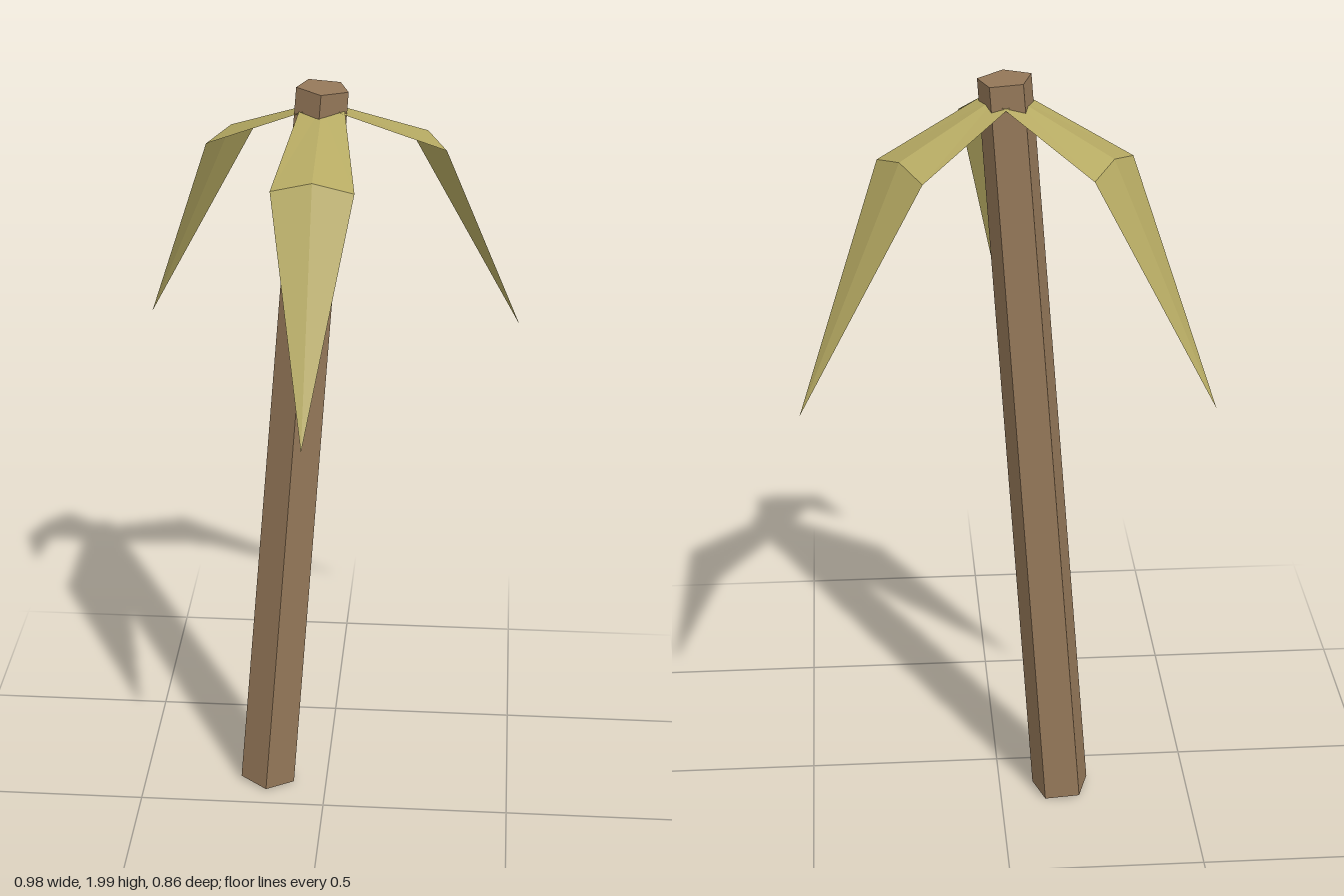
import * as THREE from 'three';

export function createModel() {
  const model = new THREE.Group();
  const bark = new THREE.MeshStandardMaterial({ color: 0x957859, flatShading: true });
  bark.name = 'bark brown';
  const frond = new THREE.MeshStandardMaterial({ color: 0xb5a962, flatShading: true, side: THREE.DoubleSide });
  frond.name = 'dry leaf green';

  // Leaning five-sided trunk, slightly tapered
  const trunk = new THREE.Mesh(new THREE.CylinderGeometry(0.067, 0.077, 1.989, 5), bark);
  trunk.name = 'trunk';
  trunk.position.set(-0.086, 1, -0.135);
  trunk.rotation.z = -0.0767;
  model.add(trunk);

  // Drooping leaf: a ridged strip from the trunk to a bend, then a long point
  const crown = new THREE.Vector3(-0.01, 1.95, -0.13);
  const up = new THREE.Vector3(0, 1, 0);
  function addLeaf(name, bend, tip) {
    const out = bend.clone().sub(crown).setY(0).normalize();
    const across = up.clone().cross(out);
    const base = crown.clone().addScaledVector(out, 0.02);
    const edge = (p, halfWidth, drop) => p.clone().addScaledVector(across, halfWidth).addScaledVector(up, -drop);
    const baseL = edge(base, 0.055, 0.01), baseR = edge(base, -0.055, 0.01);
    const bendL = edge(bend, 0.1, 0.023), bendR = edge(bend, -0.1, 0.023);
    const geometry = new THREE.BufferGeometry().setFromPoints([
      base, bend, bendL, base, bendL, baseL,
      base, baseR, bendR, base, bendR, bend,
      bend, tip, bendL, bend, bendR, tip,
    ]);
    geometry.computeVertexNormals();
    const leaf = new THREE.Mesh(geometry, frond);
    leaf.name = name;
    model.add(leaf);
  }
  const v = (x, y, z) => new THREE.Vector3(x, y, z);
  addLeaf('frontLeaf', v(-0.015, 1.845, 0.146), v(-0.02, 1.28, 0.428));
  addLeaf('backLeftLeaf', v(0.2425, 1.843, -0.275), v(0.49, 1.27, -0.41));
  addLeaf('backRightLeaf', v(-0.2525, 1.843, -0.285), v(-0.49, 1.27, -0.433));

  return model;
}
